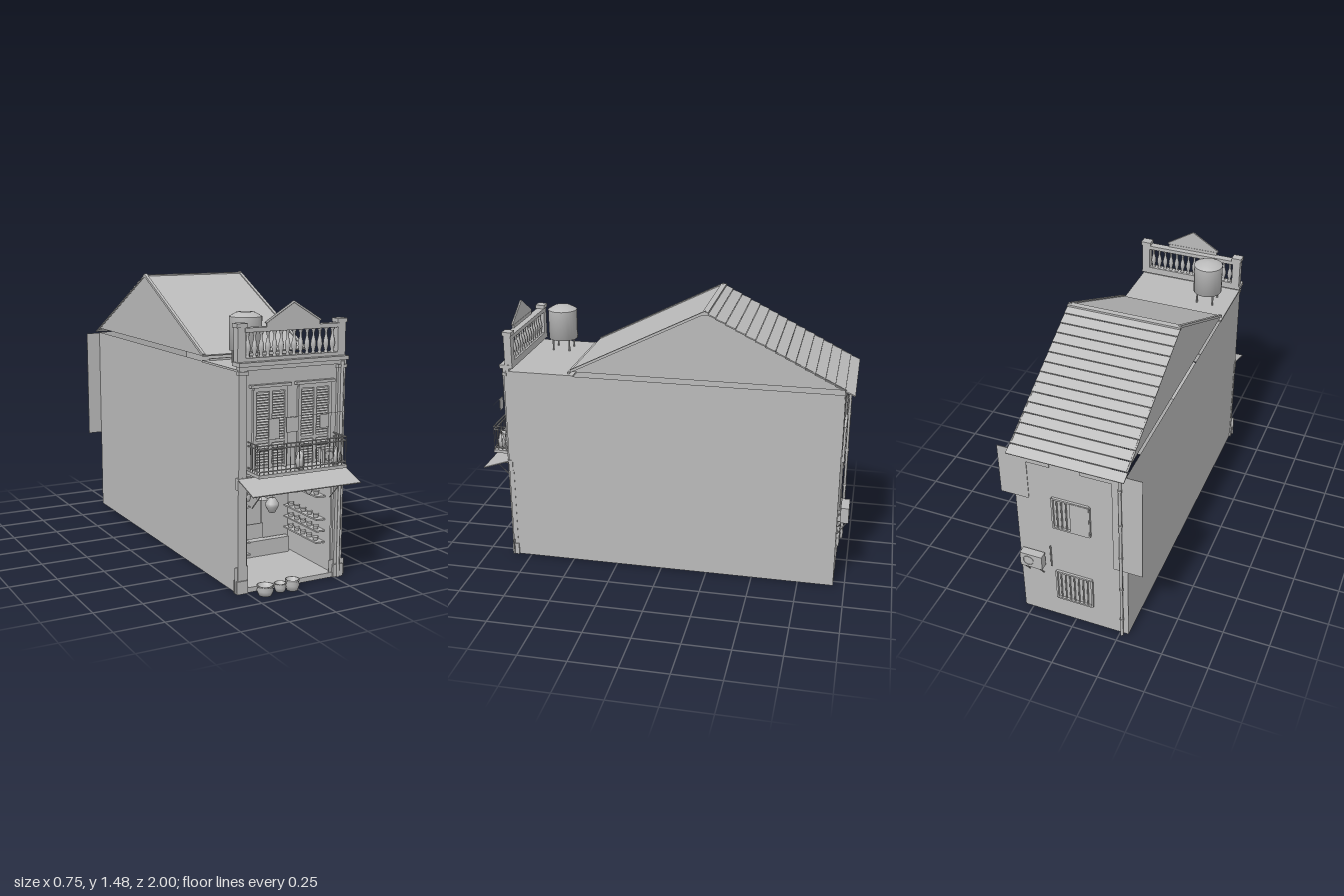
import * as THREE from 'three';

export function createModel() {
  const model = new THREE.Group();
  const mat = new THREE.MeshStandardMaterial({ color: 0xbababa, side: THREE.DoubleSide });
  mat.name = 'plaster grey';

  const group = (name) => { const g = new THREE.Group(); g.name = name; model.add(g); return g; };
  const add = (p, name, geo, x = 0, y = 0, z = 0) => {
    const m = new THREE.Mesh(geo, mat);
    m.name = name; m.position.set(x, y, z); p.add(m);
    return m;
  };
  // box given by its min and max on each axis
  const box = (p, name, x0, x1, y0, y1, z0, z1) =>
    add(p, name, new THREE.BoxGeometry(x1 - x0, y1 - y0, z1 - z0), (x0 + x1) / 2, (y0 + y1) / 2, (z0 + z1) / 2);
  const lathe = (p, name, pts, x, y, z, n = 16) =>
    add(p, name, new THREE.LatheGeometry(pts.map(q => new THREE.Vector2(q[0], q[1])), n), x, y, z);
  const rod = (p, name, a, b, r = 0.003) => {
    const A = new THREE.Vector3(...a), d = new THREE.Vector3(...b).sub(A);
    const m = add(p, name, new THREE.CylinderGeometry(r, r, d.length(), 6));
    m.position.copy(A).addScaledVector(d, 0.5);
    m.quaternion.setFromUnitVectors(new THREE.Vector3(0, 1, 0), d.normalize());
    return m;
  };
  // sheet sloping in the y-z plane
  const slope = (p, name, x0, x1, z0, y0, z1, y1, t) => {
    const m = add(p, name, new THREE.BoxGeometry(x1 - x0, t, Math.hypot(z1 - z0, y1 - y0)), (x0 + x1) / 2, (y0 + y1) / 2, (z0 + z1) / 2);
    m.rotation.x = Math.atan2(y0 - y1, z1 - z0);
    return m;
  };
  const polygon = (pts) => new THREE.Shape(pts.map(q => new THREE.Vector2(q[0], q[1])));

  // Shell: thin walls, open underneath
  const shell = group('shell');
  for (const s of [-1, 1]) {
    const w = add(shell, 'sideWall', new THREE.PlaneGeometry(1.78, 1.085), s * 0.295, 0.5425, -0.05);
    w.rotation.y = s * Math.PI / 2;
    // gable floats just above the wall
    const g = add(shell, 'gable', new THREE.ShapeGeometry(polygon([[-0.48, 1.11], [0.95, 1.11], [0.23, 1.465]])), s * 0.293);
    g.rotation.y = Math.PI / 2;
  }
  add(shell, 'backWall', new THREE.PlaneGeometry(0.59, 1.085), 0, 0.5425, -0.94).rotation.y = Math.PI;
  const front = polygon([[-0.295, 0], [0.295, 0], [0.295, 1.085], [-0.295, 1.085]]);
  front.holes.push(polygon([[-0.24, 0.025], [-0.24, 0.51], [0.24, 0.51], [0.24, 0.025]]));
  add(shell, 'frontWall', new THREE.ShapeGeometry(front), 0, 0, 0.835);
  box(shell, 'terrace', -0.298, 0.298, 1.08, 1.09, 0.47, 0.84);
  box(shell, 'terraceKerb', -0.27, 0.27, 1.09, 1.1, 0.495, 0.505);

  // Shop room behind the opening
  const shop = group('shop');
  box(shop, 'floor', -0.24, 0.24, 0.015, 0.025, 0.42, 0.84);
  add(shop, 'backPartition', new THREE.PlaneGeometry(0.48, 0.49), 0, 0.265, 0.42);
  box(shop, 'ceiling', -0.24, 0.24, 0.505, 0.51, 0.42, 0.83);
  for (const s of [-1, 1]) {
    add(shop, 'sidePartition', new THREE.PlaneGeometry(0.41, 0.49), s * 0.24, 0.265, 0.625).rotation.y = Math.PI / 2;
    for (const y of [0.16, 0.22, 0.28, 0.4]) {
      box(shop, 'shelf', s > 0 ? 0.19 : -0.24, s > 0 ? 0.24 : -0.19, y, y + 0.008, 0.46, 0.78);
      for (let i = 0; i < 5; i++)
        add(shop, 'goods', new THREE.CylinderGeometry(0.016, 0.012, 0.018, 10), s * 0.212, y + 0.017, 0.5 + i * 0.06);
    }
  }
  box(shop, 'counter', -0.17, 0.22, 0.025, 0.11, 0.43, 0.47);
  box(shop, 'hangingSign', -0.235, -0.135, 0.25, 0.325, 0.8, 0.806);
  for (const x of [-0.225, -0.145]) rod(shop, 'signRod', [x, 0.325, 0.803], [x, 0.51, 0.803], 0.002);
  for (const [x, y, z] of [[-0.08, 0.41, 0.7], [0.025, 0.42, 0.62], [0.095, 0.435, 0.72]]) {
    add(shop, 'lampShade', new THREE.ConeGeometry(0.03, 0.022, 14, 1, true), x, y + 0.011, z);
    rod(shop, 'lampCord', [x, y + 0.02, z], [x, 0.51, z], 0.0015);
  }
  for (const [x, y, r] of [[-0.2, 0.45, 0.02], [-0.01, 0.46, 0.014], [0.155, 0.44, 0.014], [0.19, 0.47, 0.025]]) {
    lathe(shop, 'hangingPot', [[0, -0.018], [r * 0.7, -0.018], [r, 0], [r * 0.8, 0.018]], x, y, 0.76);
    rod(shop, 'potCord', [x, y, 0.76], [x, 0.51, 0.76], 0.0015);
  }

  // Roof: smooth front sheet, stepped courses behind
  const roof = group('roof');
  slope(roof, 'frontSlope', -0.3, 0.3, 0.48, 1.112, -0.23, 1.468, 0.008);
  for (const s of [-1, 1])
    slope(roof, 'vergeStrip', s * 0.292 - 0.008, s * 0.292 + 0.008, 0.48, 1.118, -0.23, 1.474, 0.008);
  box(roof, 'ridge', -0.3, 0.3, 1.455, 1.472, -0.245, -0.215);
  const N = 15;
  for (let i = 0; i < N; i++) {
    const z = t => -0.23 - 0.76 * t, y = t => 1.465 - 0.385 * t;
    slope(roof, 'tileCourse', -0.3, 0.3, z(i / N), y(i / N), z((i + 1) / N), y((i + 1) / N) + 0.005, 0.006);
  }

  // Parapet with balusters and pediment
  const parapet = group('parapet');
  box(parapet, 'cornice', -0.305, 0.3, 1.105, 1.125, 0.8, 0.87);
  box(parapet, 'corniceLower', -0.297, 0.297, 1.085, 1.105, 0.82, 0.855);
  box(parapet, 'bottomRail', -0.26, 0.26, 1.125, 1.142, 0.8, 0.84);
  box(parapet, 'topRail', -0.26, 0.26, 1.262, 1.283, 0.8, 0.842);
  for (const s of [-1, 1]) {
    box(parapet, 'pier', s * 0.276 - 0.022, s * 0.276 + 0.022, 1.125, 1.29, 0.8, 0.84);
    box(parapet, 'pierCap', s * 0.276 - 0.028, s * 0.276 + 0.028, 1.285, 1.305, 0.795, 0.845);
  }
  for (let i = 0; i < 14; i++)
    lathe(parapet, 'baluster', [[0.011, 0], [0.007, 0.012], [0.014, 0.04], [0.012, 0.06], [0.006, 0.085], [0.006, 0.1], [0.012, 0.12]],
      -0.234 + i * 0.036, 1.142, 0.82, 10);
  const ped = polygon([[-0.155, 1.305], [-0.145, 1.297], [0.145, 1.297], [0.155, 1.305], [0, 1.4]]);
  add(parapet, 'pediment', new THREE.ExtrudeGeometry(ped, { depth: 0.008, bevelEnabled: false }), 0, 0, 0.836);
  box(parapet, 'pedimentBase', -0.145, 0.145, 1.283, 1.3, 0.834, 0.844);
  for (const s of [-1, 1]) rod(parapet, 'pedimentEdge', [s * 0.152, 1.303, 0.842], [0, 1.396, 0.842], 0.005);

  // Water tank
  const tank = group('waterTank');
  lathe(tank, 'tankBody', [[0, 1.155], [0.08, 1.155], [0.08, 1.318], [0.08, 1.318], [0.045, 1.338], [0, 1.342]], -0.155, 0, 0.655, 28);
  for (let i = 0; i < 4; i++) {
    const a = Math.PI / 4 + i * Math.PI / 2, x = -0.155 + 0.065 * Math.cos(a), z = 0.655 + 0.065 * Math.sin(a);
    rod(tank, 'tankLeg', [x, 1.09, z], [x, 1.16, z], 0.005);
  }

  // Facade pilasters, string course and step
  const facade = group('facade');
  for (const s of [-1, 1]) {
    const c = s * 0.274;
    box(facade, 'upperPilaster', c - 0.021, c + 0.021, 0.575, 1.085, 0.835, 0.85);
    box(facade, 'capital', c - 0.026, c + 0.026, 1.065, 1.082, 0.835, 0.857);
    box(facade, 'lowerPost', c - 0.023, c + 0.023, 0, 0.515, 0.825, 0.85);
    box(facade, 'postBase', c - 0.03, c + 0.03, 0, 0.065, 0.82, 0.857);
  }
  box(facade, 'step', -0.3, 0.3, 0, 0.025, 0.82, 0.85);
  box(facade, 'stringCourse', -0.3, 0.3, 0.515, 0.575, 0.83, 0.852);
  box(facade, 'wallStainLeft', 0.225, 0.315, 0.005, 0.09, 0.843, 0.846);
  box(facade, 'wallStainRight', -0.312, -0.24, 0.005, 0.135, 0.843, 0.846);
  rod(facade, 'drainPipe', [0.272, 0, 0.858], [0.272, 1.1, 0.858], 0.008);

  // Louvred balcony doors
  for (const c of [-0.124, 0.124]) {
    const door = group('balconyDoor');
    box(door, 'lintel', c - 0.11, c + 0.11, 1.0, 1.014, 0.835, 0.858);
    box(door, 'head', c - 0.09, c + 0.09, 0.98, 1.0, 0.835, 0.85);
    for (const d of [-0.086, 0, 0.086]) box(door, 'stile', c + d - 0.008, c + d + 0.008, 0.6, 0.99, 0.835, 0.85);
    for (const s of [-1, 1]) {
      const x = c + s * 0.043;
      for (const y of [0.61, 0.73]) box(door, 'leafRail', x - 0.035, x + 0.035, y, y + 0.014, 0.836, 0.847);
      for (let i = 0; i < 27; i++)
        add(door, 'slat', new THREE.BoxGeometry(0.07, 0.002, 0.012), x, 0.63 + i * 0.013, 0.841).rotation.x = 0.6;
    }
  }

  // Balcony
  const balcony = group('balcony');
  box(balcony, 'slab', -0.245, 0.245, 0.59, 0.606, 0.835, 0.955);
  for (const y of [0.62, 0.725, 0.744]) {
    rod(balcony, 'frontRail', [-0.24, y, 0.95], [0.24, y, 0.95], 0.0035);
    for (const s of [-1, 1]) rod(balcony, 'sideRail', [s * 0.24, y, 0.84], [s * 0.24, y, 0.95], 0.0035);
  }
  for (let i = 0; i <= 20; i++) rod(balcony, 'railBar', [-0.24 + i * 0.024, 0.6, 0.95], [-0.24 + i * 0.024, 0.744, 0.95], 0.002);
  for (const s of [-1, 1]) for (let i = 1; i < 5; i++)
    rod(balcony, 'sideBar', [s * 0.24, 0.6, 0.84 + i * 0.022], [s * 0.24, 0.744, 0.84 + i * 0.022], 0.002);
  for (const [x0, x1, y0, y1] of [[-0.19, -0.133, 0.77, 0.868], [-0.095, -0.03, 0.795, 0.866], [0.09, 0.142, 0.8, 0.865]])
    box(balcony, 'laundry', x0, x1, y0, y1, 0.943, 0.946);
  rod(balcony, 'laundryLine', [-0.24, 0.868, 0.944], [0.24, 0.868, 0.944], 0.001);
  box(balcony, 'fanUnit', 0.12, 0.21, 0.62, 0.69, 0.89, 0.93);
  const fan = add(balcony, 'fanRing', new THREE.TorusGeometry(0.024, 0.003, 6, 20), 0.158, 0.655, 0.932);
  fan.scale.z = 0.6;
  for (const x of [0.0, 0.2])
    lathe(balcony, 'planter', [[0, 0], [0.018, 0], [0.024, 0.04], [0.02, 0.05], [0.014, 0.08], [0, 0.09]], x, 0.606, 0.92, 12);

  // Awning and its struts
  const awning = group('awning');
  slope(awning, 'awningSheet', -0.3, 0.3, 0.84, 0.573, 0.998, 0.519, 0.005);
  for (const x of [-0.22, 0.22]) {
    rod(awning, 'strut', [x, 0.42, 0.848], [x, 0.53, 0.96], 0.003);
    rod(awning, 'tie', [x, 0.525, 0.848], [x, 0.52, 0.99], 0.003);
  }
  const lantern = lathe(awning, 'lantern', [[0, 0.41], [0.015, 0.41], [0.031, 0.44], [0.031, 0.455], [0.015, 0.48], [0, 0.48]], -0.15, 0, 0.915);
  rod(lantern, 'lanternCord', [0, 0.48, 0], [0, 0.545, 0], 0.0015);

  // Pots by the doorstep
  const pots = group('streetPots');
  for (const [x, r, h, z] of [[-0.18, 0.042, 0.05, 0.91], [-0.09, 0.03, 0.043, 0.9], [-0.028, 0.036, 0.055, 0.91]])
    lathe(pots, 'pot', [[0, 0], [r * 0.75, 0], [r, h * 0.5], [r * 0.85, h * 0.8], [r, h * 0.88], [r, h], [r * 0.85, h], [r * 0.7, h * 0.6], [0, h * 0.6]], x, 0, z);

  // Rear: barred windows, cooler, pipe and wall patches
  const rear = group('rear');
  for (const y of [0.14, 0.64]) {
    for (const yy of [y, y + 0.19]) box(rear, 'windowFrame', -0.1, 0.095, yy - 0.005, yy + 0.005, -0.952, -0.938);
    for (const x of [-0.1, 0.095]) box(rear, 'windowJamb', x - 0.005, x + 0.005, y, y + 0.19, -0.952, -0.938);
    for (let i = 1; i < 8; i++) rod(rear, 'windowBar', [-0.1 + i * 0.0244, y, -0.946], [-0.1 + i * 0.0244, y + 0.19, -0.946], 0.004);
  }
  box(rear, 'shutterPanel', -0.1, 0.0, 0.64, 0.83, -0.954, -0.948);
  box(rear, 'coolerCase', 0.15, 0.27, 0.365, 0.45, -0.998, -0.955);
  add(rear, 'coolerGrille', new THREE.TorusGeometry(0.028, 0.002, 6, 20), 0.225, 0.407, -0.998);
  for (const x of [0.17, 0.25]) {
    rod(rear, 'coolerArm', [x, 0.362, -0.94], [x, 0.362, -0.995]);
    rod(rear, 'coolerBrace', [x, 0.29, -0.942], [x, 0.36, -0.99]);
  }
  rod(rear, 'coolerHose', [0.12, 0.36, -0.948], [0.12, 0.5, -0.948], 0.004);
  rod(rear, 'rearPipe', [-0.265, 0, -0.955], [-0.265, 1.08, -0.955], 0.008);
  for (let i = 0; i < 5; i++) add(rear, 'pipeCollar', new THREE.CylinderGeometry(0.011, 0.011, 0.012, 10), -0.265, 0.12 + i * 0.22, -0.955);
  box(rear, 'wallPatchRight', -0.375, -0.06, 1.02, 1.08, -0.945, -0.942);
  box(rear, 'wallPatchRightLower', -0.375, -0.22, 0.46, 1.02, -0.945, -0.942);
  box(rear, 'wallPatchLeft', 0.1, 0.37, 1.02, 1.08, -0.945, -0.942);
  box(rear, 'wallPatchLeftLower', 0.22, 0.37, 0.79, 1.02, -0.945, -0.942);
  return model;
}
